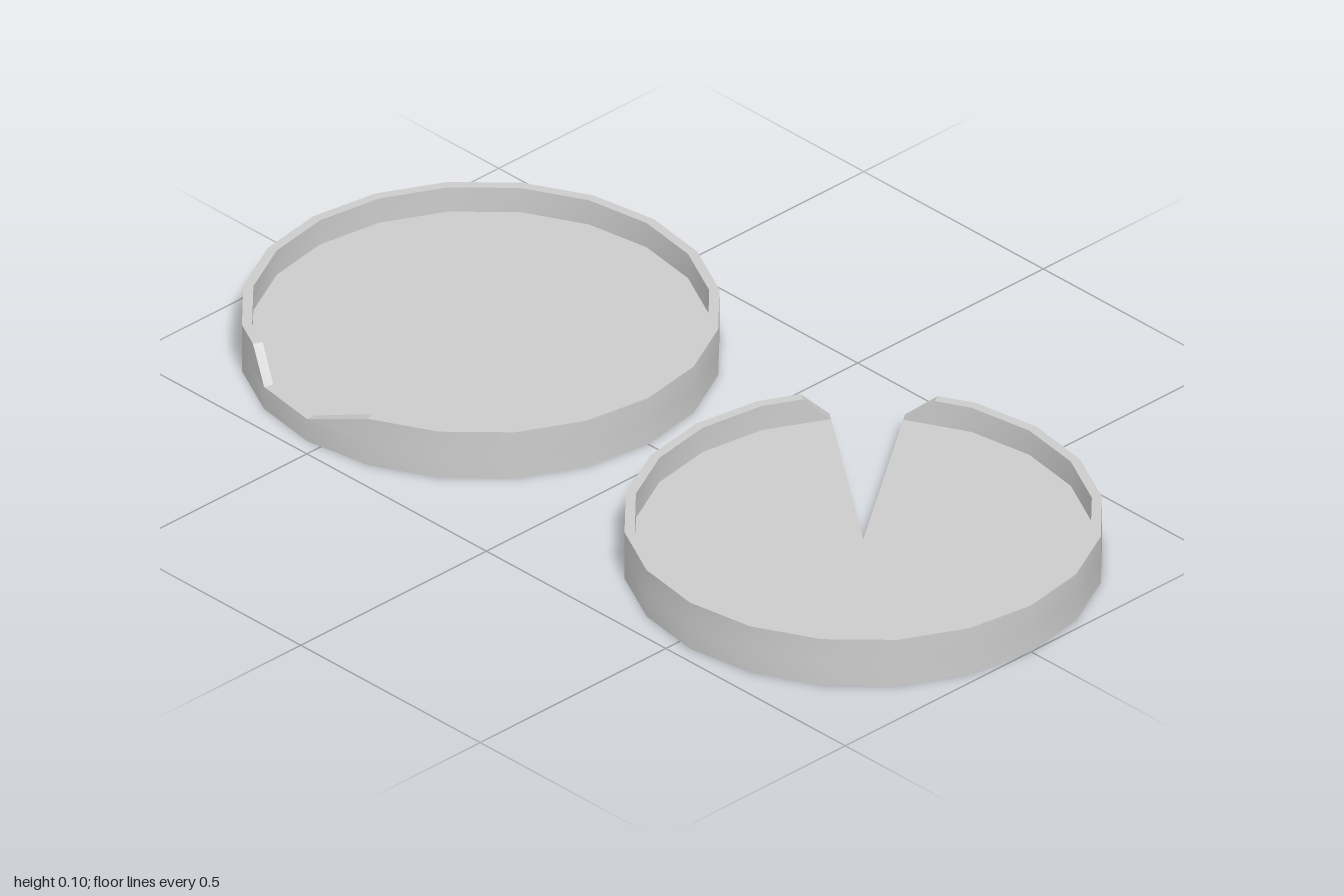
import * as THREE from 'three';
import { toCreasedNormals } from 'three/addons/utils/BufferGeometryUtils.js';

const SIDES = 20, OUTER = 0.467, INNER = 0.447;
const FLOOR = 0.05, TOP = 0.105, OFFSET = 0.533, CREASE = 0.33;
const material = new THREE.MeshStandardMaterial({ color: 0xcccccc });

// Point on the 20-sided outline; t counts sides and may be fractional
function outline(t, radius) {
  const corner = (k) => {
    const a = (k / SIDES) * Math.PI * 2;
    return new THREE.Vector2(radius * Math.cos(a), radius * Math.sin(a));
  };
  const k = Math.floor(t);
  return corner(k).lerp(corner(k + 1), t - k);
}

// Floor slab; a partial range leaves a wedge open to the centre
function makeFloor(from, to) {
  const points = [];
  const full = to - from >= SIDES;
  for (let k = from; full ? k < to : k <= to; k++) points.push(outline(k, OUTER));
  if (!full) points.push(new THREE.Vector2(0, 0));
  const geo = new THREE.ExtrudeGeometry(new THREE.Shape(points), { depth: FLOOR, bevelEnabled: false });
  geo.rotateX(-Math.PI / 2);
  const mesh = new THREE.Mesh(toCreasedNormals(geo, CREASE), material);
  mesh.name = 'floor';
  return mesh;
}

// Raised rim that ramps up from the floor at its start and down again at its end
function makeRim(start, rampEnd, rampStart, end) {
  const stations = [[start, FLOOR], [rampEnd, TOP]];
  for (let k = Math.floor(rampEnd) + 1; k < rampStart; k++) stations.push([k, TOP]);
  stations.push([rampStart, TOP], [end, FLOOR]);

  const positions = [], index = [];
  for (const [t, h] of stations) {
    const o = outline(t, OUTER), i = outline(t, INNER);
    // outer bottom, outer top, inner top, inner bottom
    positions.push(o.x, FLOOR, -o.y, o.x, h, -o.y, i.x, h, -i.y, i.x, FLOOR, -i.y);
  }
  for (let s = 0; s < stations.length - 1; s++) {
    for (let c = 0; c < 3; c++) {
      const a = s * 4 + c, b = a + 4;
      index.push(a, b, b + 1, a, b + 1, a + 1);
    }
  }
  const geo = new THREE.BufferGeometry();
  geo.setAttribute('position', new THREE.Float32BufferAttribute(positions, 3));
  geo.setIndex(index);
  const mesh = new THREE.Mesh(toCreasedNormals(geo, CREASE), material);
  mesh.name = 'rim';
  return mesh;
}

function makeTray(name, x, floor, rim) {
  const tray = new THREE.Group();
  tray.name = name;
  tray.add(floor, rim);
  tray.position.x = x;
  return tray;
}

export function createModel() {
  const model = new THREE.Group();
  model.name = 'trayPair';
  // Whole tray with a notch in the front of its rim
  model.add(makeTray('notchedTray', -OFFSET, makeFloor(0, SIDES), makeRim(15, 16, 33.5, 34)));
  // Tray with one wedge missing at the back
  model.add(makeTray('wedgeCutTray', OFFSET, makeFloor(8, 27), makeRim(8, 8.4, 26.54, 27)));
  return model;
}
